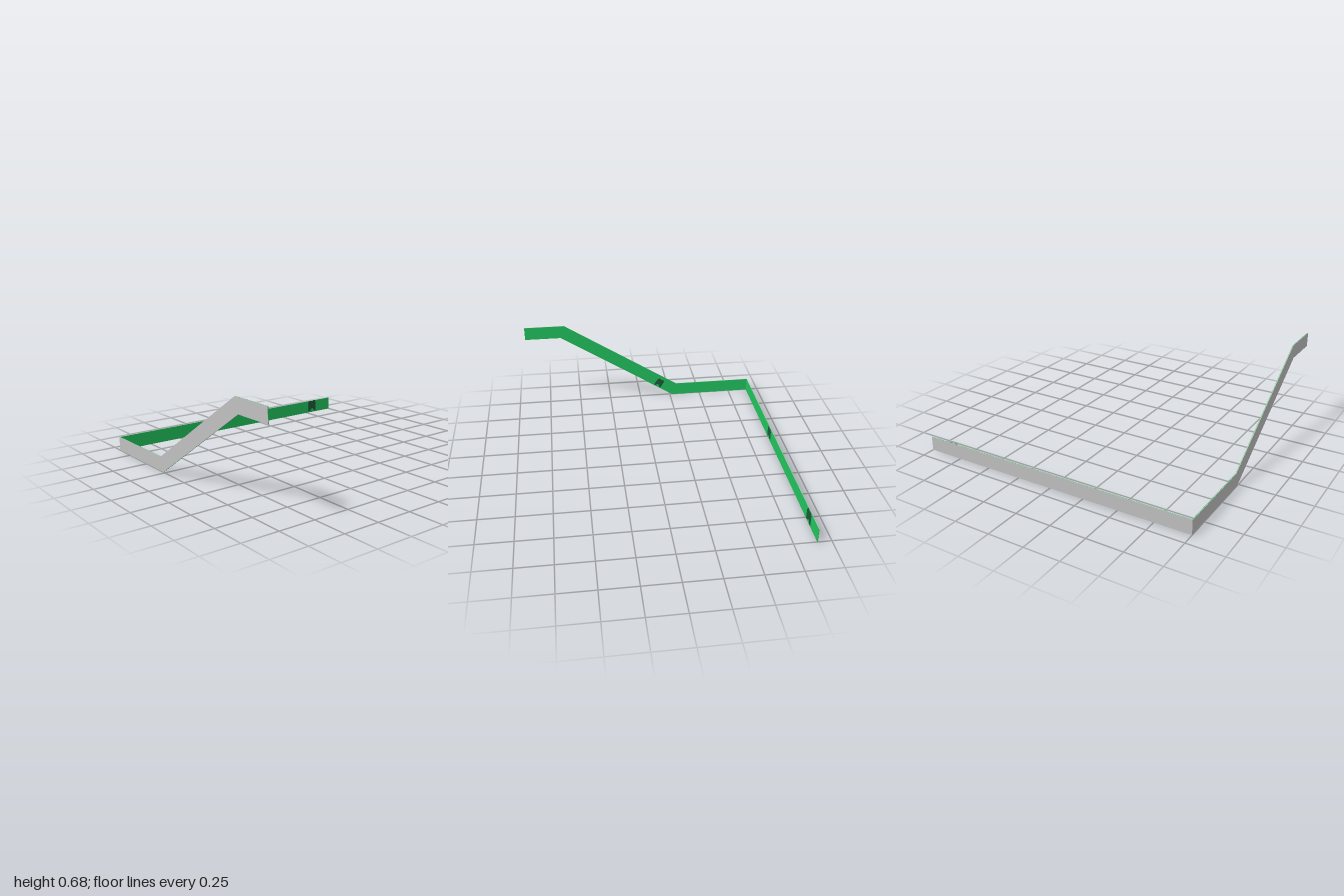
import * as THREE from 'three';

const LAYER = 0.003; // thickness of each face layer

export function createModel() {
  const model = new THREE.Group();
  const mat = (name, color) => {
    const m = new THREE.MeshStandardMaterial({ color });
    m.name = name;
    return m;
  };
  const grey = mat('outer grey', 0xc0c0c0);
  const green = mat('inner green', 0x22c55e);
  const dark = mat('clip dark green', 0x1f5a3a);

  // Flat plate cut from an outline, starting at a given depth
  const plate = (name, points, depth, material) => {
    const shape = new THREE.Shape(points.map(([u, v]) => new THREE.Vector2(u, v)));
    const geo = new THREE.ExtrudeGeometry(shape, { depth: LAYER, bevelEnabled: false });
    geo.translate(0, 0, depth);
    const mesh = new THREE.Mesh(geo, material);
    mesh.name = name;
    return mesh;
  };

  // Notched clip outline, centred on its own origin
  const half = [[0.012, -0.022], [0.02, -0.042], [0.038, -0.042], [0.038, 0.03],
    [0.03, 0.03], [0.03, 0.042], [0.01, 0.042], [0.006, 0.036]];
  const clipOutline = [...half, ...half.map(([u, v]) => [-u, v]).reverse()];

  // Band: grey outside, green inside, clips on the inner face
  const band = (name, outline, clips) => {
    const group = new THREE.Group();
    group.name = name;
    group.add(plate(name + 'Outer', outline(0), 0, grey));
    group.add(plate(name + 'Inner', outline(LAYER), LAYER, green));
    clips.forEach(([u, v, angle, scale]) => {
      const clip = plate('clip', clipOutline, 0, dark);
      clip.position.set(u, v, 2 * LAYER);
      clip.rotation.z = angle;
      clip.scale.set(scale, scale, 1);
      group.add(clip);
    });
    model.add(group);
    return group;
  };

  // Straight side band, outline runs from front to back
  const side = band('sideBand',
    () => [[-1 + LAYER, 0], [1, 0], [1, 0.1], [-1 + LAYER, 0.1]],
    [[-0.212, 0.056, 0, 0.98], [0.807, 0.056, 0, 1.08]]);
  side.rotation.y = Math.PI / 2;
  side.position.x = -0.91;

  // Stepped front band, mirrored in x because its inside faces backwards
  const front = band('frontBand', (trim) => [
    [-0.91 + trim, 0], [-0.27, 0], [0.63, 0.575], [0.91, 0.575],
    [0.91, 0.675], [0.6, 0.675], [-0.3, 0.1], [-0.91 + trim, 0.1],
  ].map(([x, y]) => [-x, y]), [[0.16, 0.118, -0.57, 0.8]]);
  front.rotation.y = Math.PI;
  front.position.z = 1;

  return model;
}
